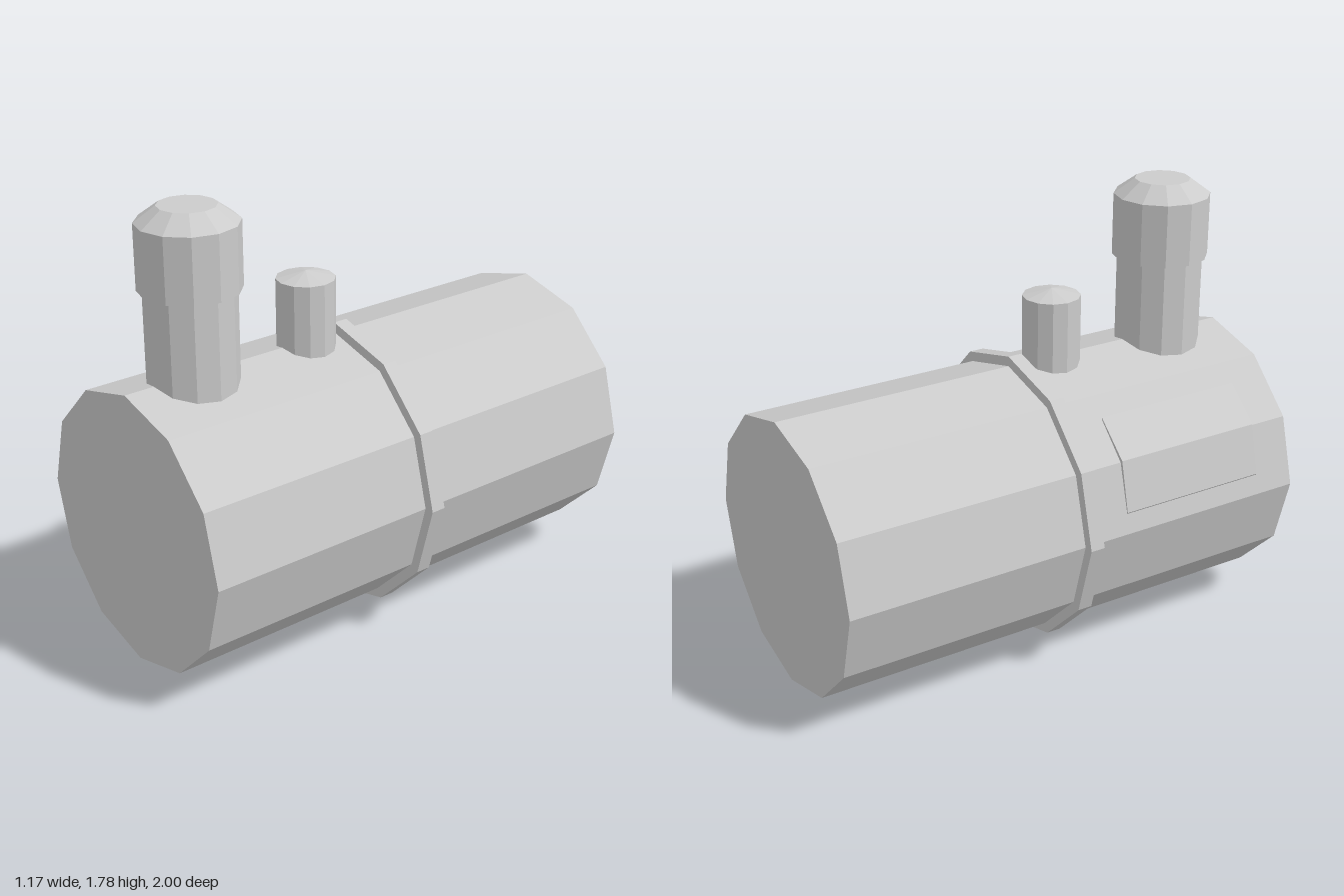
import * as THREE from 'three';

const SIDES = 12;
const AXIS_Y = 0.5875;

export function createModel() {
  const model = new THREE.Group();
  const material = new THREE.MeshStandardMaterial({ color: 0xcccccc, flatShading: true });

  const add = (name, geometry, x = 0, y = 0, z = 0) => {
    const mesh = new THREE.Mesh(geometry, material);
    mesh.name = name;
    mesh.position.set(x, y, z);
    model.add(mesh);
    return mesh;
  };

  // Lying drum, with a corner of the polygon at the top
  const drum = (name, radius, z0, z1) => {
    const geometry = new THREE.CylinderGeometry(radius, radius, z1 - z0, SIDES);
    geometry.rotateX(Math.PI / 2);
    add(name, geometry, 0, AXIS_Y, (z0 + z1) / 2);
  };

  // Upright turned part from [radius, height] points
  const turned = (name, points, z) => {
    const profile = points.map(([r, y]) => new THREE.Vector2(r, y));
    add(name, new THREE.LatheGeometry(profile, SIDES), 0, 0, z);
  };

  // Boiler and its band
  drum('boiler', 0.547, -1, 1);
  drum('band', 0.587, -0.01, 0.05);

  // Chimney with a wider chamfered top
  turned('chimneyPipe', [[0, 0.95], [0.172, 0.95], [0.172, 1.5]], 0.705);
  turned('chimneyCap', [[0, 1.47], [0.192, 1.47], [0.192, 1.72], [0.11, 1.78], [0, 1.78]], 0.705);

  // Small dome with a shallow pointed lid
  turned('steamDome', [[0, 0.95], [0.115, 0.95], [0.115, 1.392], [0, 1.42]], 0.187);

  // Thin hatch wrapped over one corner of the boiler's right side
  const hatch = new THREE.Shape([
    [-0.523, 0.66], [-0.467, 0.855], [-0.343, 0.98],
    [-0.345, 0.998], [-0.484, 0.87], [-0.53, 0.67],
  ].map(([x, y]) => new THREE.Vector2(x, y)));
  add('hatch', new THREE.ExtrudeGeometry(hatch, { depth: 0.635, bevelEnabled: false }), 0, 0, 0.195);

  return model;
}
